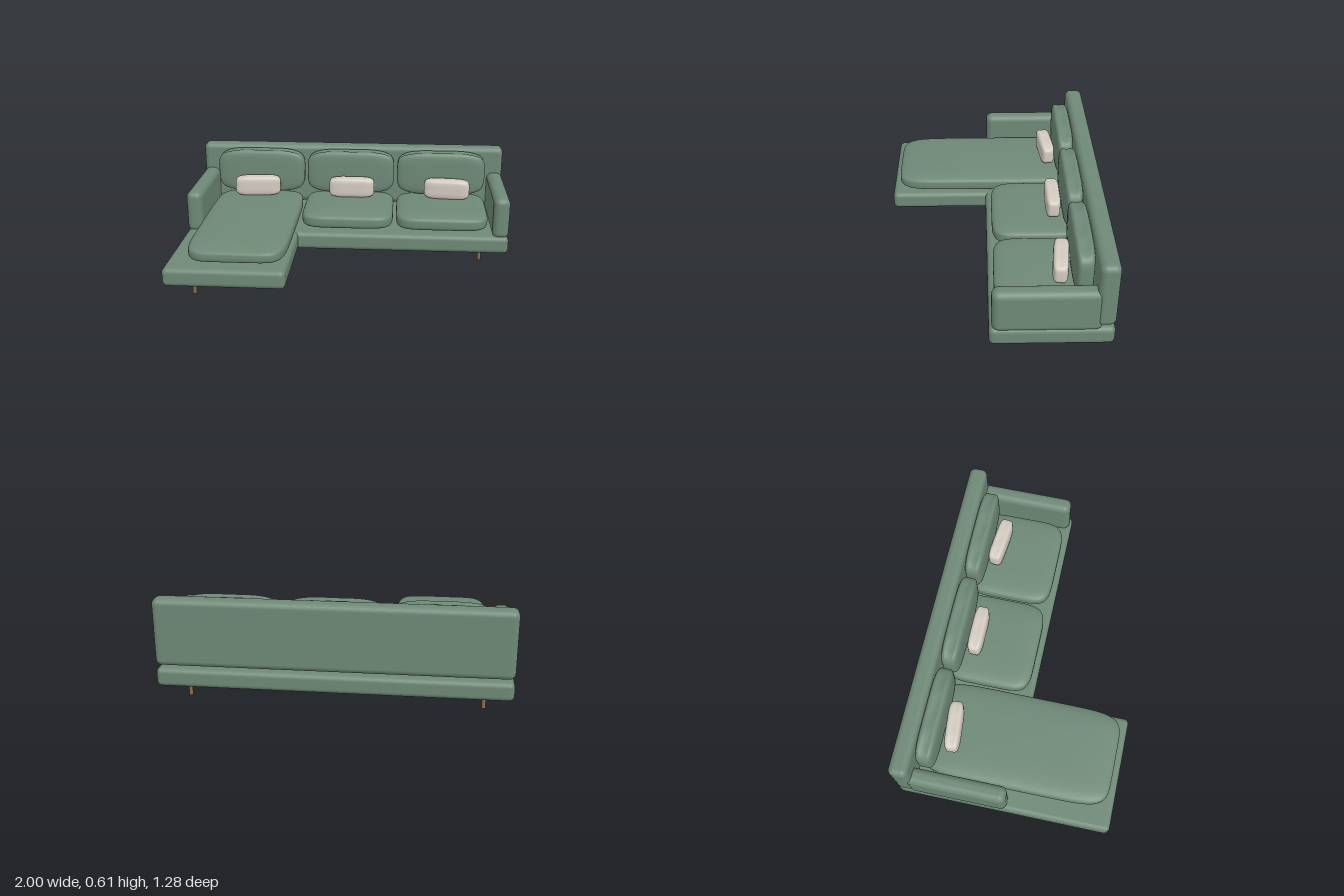
import * as THREE from 'three';
import { mergeVertices } from 'three/addons/utils/BufferGeometryUtils.js';
import { RoundedBoxGeometry } from 'three/addons/geometries/RoundedBoxGeometry.js';

const fabric = new THREE.MeshStandardMaterial({ color: 0x6e8876 });
fabric.name = 'sage fabric';
const linen = new THREE.MeshStandardMaterial({ color: 0xd3cbc1 });
linen.name = 'cream linen';
const wood = new THREE.MeshStandardMaterial({ color: 0x8f6f50 });
wood.name = 'wood';

// Upholstered block given by its min and max corners
function block(name, [x0, y0, z0], [x1, y1, z1], radius) {
  const mesh = new THREE.Mesh(new RoundedBoxGeometry(x1 - x0, y1 - y0, z1 - z0, 5, radius), fabric);
  mesh.position.set((x0 + x1) / 2, (y0 + y1) / 2, (z0 + z1) / 2);
  mesh.name = name;
  return mesh;
}

const spow = (v, e) => (Math.abs(v) < 1e-6 ? 0 : Math.sign(v) * Math.abs(v) ** e);

// Superellipsoid cushion lying flat; 'pinch' draws the seam in with gathers
function cushionGeometry(width, thick, depth, { side = 0.5, plan = 0.35, pinch = 0 } = {}) {
  let geo = new THREE.SphereGeometry(1, 80, 40);
  geo.deleteAttribute('uv');
  geo.deleteAttribute('normal');
  const p = geo.attributes.position;
  for (let i = 0; i < p.count; i++) {
    const t = THREE.MathUtils.clamp(p.getY(i), -1, 1);
    const ring = Math.sqrt(1 - t * t);
    const a = Math.atan2(p.getZ(i), p.getX(i));
    const r = spow(ring, side);
    const x = r * spow(Math.cos(a), plan);
    const z = r * spow(Math.sin(a), plan);
    const h = spow(t, side);
    const gather = 1 - pinch * Math.exp(-((h / 0.4) ** 2)) * (0.65 + 0.35 * Math.cos(9 * x));
    p.setXYZ(i, x * width / 2, h * thick / 2, z * gather * depth / 2);
  }
  geo = mergeVertices(geo, 1e-5);
  geo.computeVertexNormals();
  return geo;
}

function cushion(name, geometry, material, x, y, z) {
  const mesh = new THREE.Mesh(geometry, material);
  mesh.position.set(x, y, z);
  mesh.name = name;
  return mesh;
}

export function createModel() {
  const sofa = new THREE.Group();
  sofa.name = 'chaiseSofa';

  // L-shaped platform
  sofa.add(block('mainBase', [-1, 0.09, -0.64], [1, 0.2, 0.035], 0.03));
  sofa.add(block('chaiseBase', [-1, 0.09, -0.3], [-0.3, 0.2, 0.64], 0.03));

  // Backrest and armrests
  sofa.add(block('backrest', [-1, 0.215, -0.64], [1, 0.61, -0.53], 0.036));
  for (const s of [-1, 1]) {
    const arm = block(s > 0 ? 'leftArm' : 'rightArm', [-0.05, 0.18, -0.57], [0.05, 0.442, 0.02], 0.04);
    arm.position.x = s * 0.95;
    sofa.add(arm);
  }

  // Seat cushions: one long chaise, two regular
  const seat = cushionGeometry(0.575, 0.11, 0.535);
  const chaise = cushionGeometry(0.575, 0.11, 1.13, { plan: 0.3 });
  const columns = [-0.597, -0.002, 0.592];
  sofa.add(cushion('chaiseCushion', chaise, fabric, columns[0], 0.259, 0.033));
  sofa.add(cushion('middleSeatCushion', seat, fabric, columns[1], 0.259, -0.265));
  sofa.add(cushion('leftSeatCushion', seat, fabric, columns[2], 0.259, -0.265));

  // Upright back cushions and small lumbar pillows
  const back = cushionGeometry(0.575, 0.112, 0.285, { side: 0.4, plan: 0.48, pinch: 0.1 });
  const lumbar = cushionGeometry(0.295, 0.09, 0.13, { side: 0.48, plan: 0.42, pinch: 0.08 });
  back.rotateX(Math.PI / 2);
  lumbar.rotateX(Math.PI / 2);
  const lumbarX = [-0.61, 0.01, 0.63];
  columns.forEach((x, i) => {
    const place = ['right', 'middle', 'left'][i];
    sofa.add(cushion(place + 'BackCushion', back, fabric, x, 0.453, -0.476));
    const pillow = cushion(place + 'LumbarPillow', lumbar, linen, lumbarX[i], 0.376, -0.37);
    pillow.rotation.y = (1 - i) * 0.1;
    sofa.add(pillow);
  });

  // Short tapered legs
  const legGeo = new THREE.CylinderGeometry(0.012, 0.011, 0.1, 16);
  for (const [x, z] of [[0.835, -0.525], [0.835, -0.09], [-0.843, -0.525], [-0.843, 0.515]]) {
    sofa.add(cushion('leg', legGeo, wood, x, 0.05, z));
  }
  return sofa;
}
